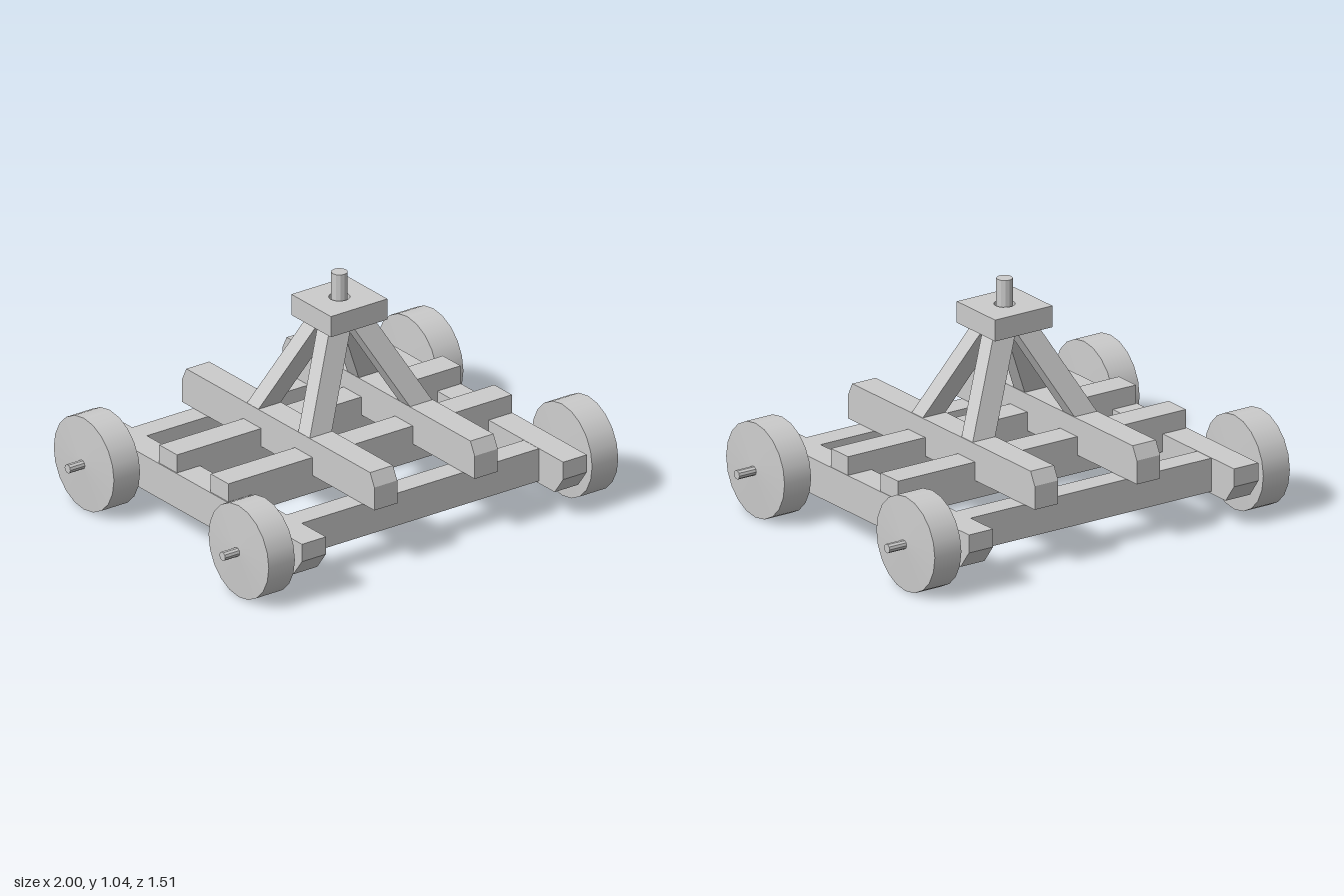
import * as THREE from 'three';

const mat = new THREE.MeshStandardMaterial({ color: 0xcccccc });
const flatMat = new THREE.MeshStandardMaterial({ color: 0xcccccc, flatShading: true });

function add(parent, name, geometry, material = mat) {
  const mesh = new THREE.Mesh(geometry, material);
  mesh.name = name;
  parent.add(mesh);
  return mesh;
}

// Box given by its limits on each axis
function block(x0, x1, y0, y1, z0, z1) {
  return new THREE.BoxGeometry(x1 - x0, y1 - y0, z1 - z0)
    .translate((x0 + x1) / 2, (y0 + y1) / 2, (z0 + z1) / 2);
}

// Beam along z from a [z, y] side profile, spanning x0..x1
function profileBeam(points, x0, x1) {
  const shape = new THREE.Shape(points.map(([z, y]) => new THREE.Vector2(-z, y)));
  return new THREE.ExtrudeGeometry(shape, { depth: x1 - x0, bevelEnabled: false })
    .rotateY(Math.PI / 2).translate(x0, 0, 0);
}

// Leg: an upright block whose top is shifted sideways
function slantedLeg(sx, sz) {
  const h = 0.39, g = new THREE.BoxGeometry(0.115, h, 0.08);
  const p = g.attributes.position;
  for (let i = 0; i < p.count; i++) {
    const top = p.getY(i) > 0;
    p.setX(i, p.getX(i) + sx * (top ? 0.055 : 0.2625));
    p.setZ(i, p.getZ(i) + sz * (top ? 0.04 : 0.18));
  }
  g.computeVertexNormals();
  return g.translate(0.013, 0.44 + h / 2, -0.005);
}

// Wheel with slightly conical faces, axis along x
function wheelGeometry() {
  const profile = [[0, -0.078], [0.21, -0.068], [0.21, 0.068], [0, 0.078]];
  const parts = new THREE.Group();
  const names = ['innerFace', 'tread', 'outerFace'];
  for (let i = 0; i < 3; i++) {
    const pts = [profile[i], profile[i + 1]].map(([r, y]) => new THREE.Vector2(r, y));
    add(parts, names[i], new THREE.LatheGeometry(pts, 20).rotateZ(-Math.PI / 2));
  }
  return parts;
}

export function createModel() {
  const model = new THREE.Group();
  model.name = 'wheeledFrame';

  // Side rails with their lower end corners cut off
  const railProfile = [[-0.76, 0.28], [-0.76, 0.2], [-0.7, 0.12], [0.695, 0.12], [0.755, 0.2], [0.755, 0.28]];
  add(model, 'rightRail', profileBeam(railProfile, -0.75, -0.625));
  add(model, 'leftRail', profileBeam(railProfile, 0.61, 0.733));

  // End beams between the rails
  add(model, 'frontBeam', block(-0.63, 0.615, 0.13, 0.279, 0.48, 0.585));
  add(model, 'backBeam', block(-0.63, 0.615, 0.13, 0.279, -0.598, -0.495));

  // Cross beams let into the rails
  add(model, 'frontCrossBeam', block(-0.745, 0.731, 0.2, 0.363, 0.112, 0.235));
  add(model, 'backCrossBeam', block(-0.745, 0.731, 0.2, 0.363, -0.247, -0.123));

  // Upper bars with bevelled top ends
  const barProfile = [[-0.675, 0.28], [0.667, 0.28], [0.667, 0.385], [0.637, 0.443], [-0.645, 0.443], [-0.675, 0.385]];
  add(model, 'rightBar', profileBeam(barProfile, -0.307, -0.188));
  add(model, 'leftBar', profileBeam(barProfile, 0.215, 0.335));

  // Four legs leaning in to the plate
  for (const sx of [-1, 1]) {
    for (const sz of [-1, 1]) add(model, 'leg', slantedLeg(sx, sz));
  }

  // Top plate with a hole, and the pin through it
  const cx = 0.012, cz = -0.005;
  const plate = new THREE.Shape([[-0.147, -0.138], [0.147, -0.138], [0.147, 0.138], [-0.147, 0.138]]
    .map(([x, y]) => new THREE.Vector2(x, y)));
  plate.holes.push(new THREE.Path().absarc(0, 0, 0.045, 0, Math.PI * 2, true));
  add(model, 'topPlate', new THREE.ExtrudeGeometry(plate, { depth: 0.095, bevelEnabled: false, curveSegments: 8 })
    .rotateX(-Math.PI / 2).translate(cx, 0.83, cz));
  add(model, 'pin', new THREE.CylinderGeometry(0.035, 0.035, 0.21, 12).translate(cx, 0.935, cz), flatMat);

  // Wheels on stub axles
  for (const side of [-1, 1]) {
    for (const z of [-0.545, 0.535]) {
      const unit = new THREE.Group();
      unit.name = 'wheelUnit';
      const wheel = wheelGeometry();
      wheel.name = 'wheel';
      wheel.position.x = side < 0 ? -0.847 : 0.836;
      unit.add(wheel);
      add(unit, 'axle', new THREE.CylinderGeometry(0.02, 0.02, 0.33, 10)
        .rotateZ(Math.PI / 2).translate(side * 0.835, 0, 0), flatMat);
      unit.position.set(0, 0.212, z);
      model.add(unit);
    }
  }
  return model;
}
